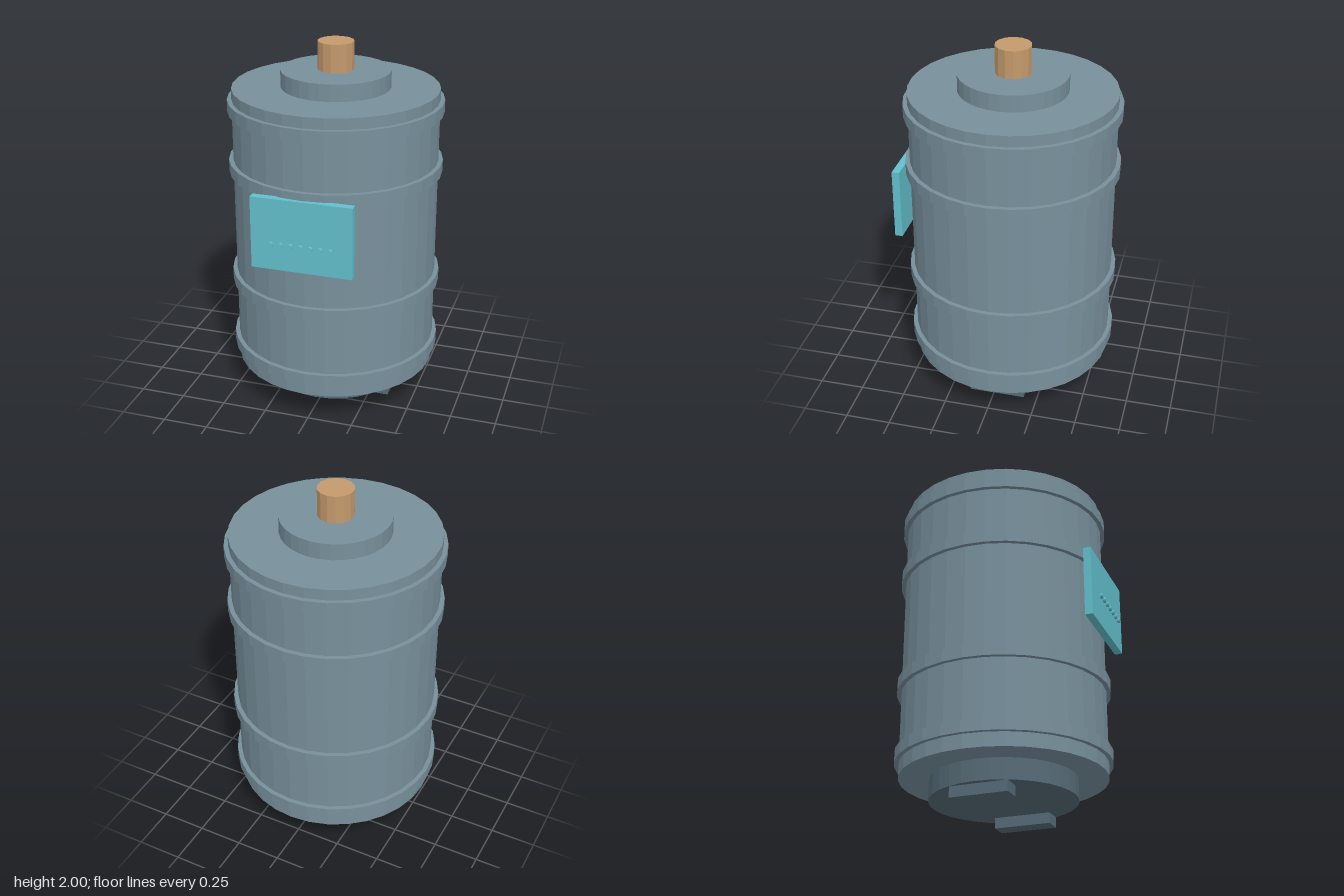
import * as THREE from 'three';

const material = (name, color) => {
  const m = new THREE.MeshStandardMaterial({ color, flatShading: true });
  m.name = name;
  return m;
};

export function createModel() {
  const steel = material('blue grey steel', 0x78909c);
  const darkSteel = material('dark steel', 0x566b77);
  const teal = material('teal panel', 0x62c0cd);
  const copper = material('copper', 0xc49a6c);

  const model = new THREE.Group();
  model.name = 'tank';
  const AXIS_Z = -0.023;

  const add = (name, geometry, mat, x, y, z, parent = model) => {
    const mesh = new THREE.Mesh(geometry, mat);
    mesh.name = name;
    mesh.position.set(x, y, z);
    parent.add(mesh);
    return mesh;
  };

  // Upright drum on the tank's axis, given by its bottom and top heights
  const drum = (name, radius, bottom, top, sides, mat) =>
    add(name, new THREE.CylinderGeometry(radius, radius, top - bottom, sides),
      mat, 0, (bottom + top) / 2, AXIS_Z);

  // Main vessel, lid, outlet and plinth
  drum('body', 0.557, 0.173, 1.755, 32, steel);
  drum('lid', 0.295, 1.755, 1.847, 32, steel);
  drum('outlet', 0.098, 1.847, 2, 14, copper);
  drum('base', 0.395, 0.058, 0.173, 32, darkSteel);

  // Reinforcing bands
  for (const y of [0.282, 0.678, 1.327, 1.662]) {
    drum('band', 0.581, y - 0.033, y + 0.033, 32, steel);
  }

  // Skid feet
  for (const side of [-1, 1]) {
    add('foot', new THREE.BoxGeometry(0.104, 0.058, 0.315), darkSteel,
      side * 0.308, 0.029, AXIS_Z + 0.005);
  }

  // Control panel with a row of round buttons
  const panel = new THREE.Group();
  panel.name = 'controlPanel';
  model.add(panel);
  add('panelPlate', new THREE.BoxGeometry(0.546, 0.394, 0.042), teal, 0, 1.123, 0.556, panel);
  const button = new THREE.CylinderGeometry(0.014, 0.014, 0.015, 12);
  button.rotateX(Math.PI / 2);
  for (let i = -3; i <= 3; i++) {
    add('button', button, teal, i * 0.053, 1.076, 0.597, panel);
  }

  return model;
}
